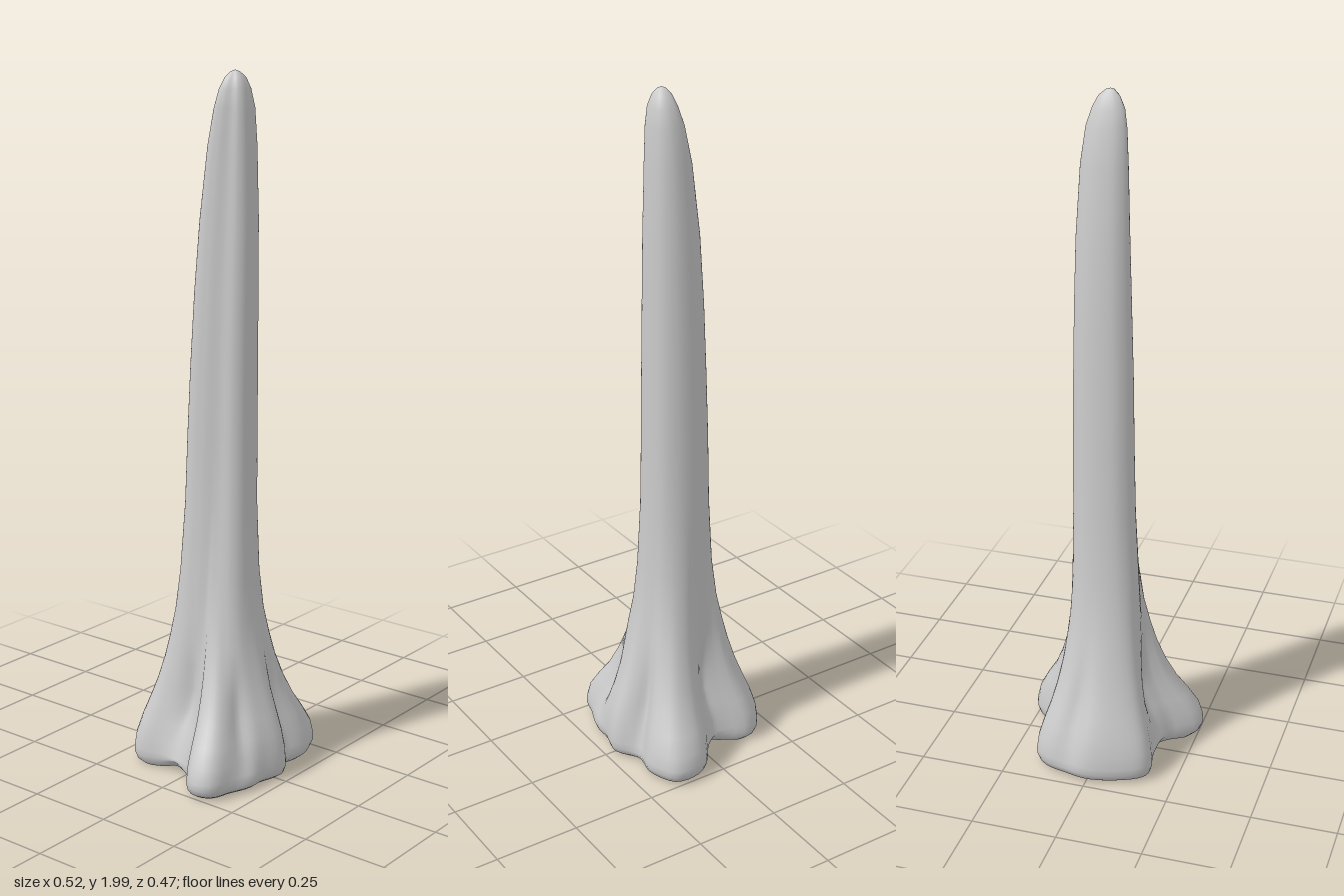
import * as THREE from 'three';

const SEG = 96;

// Radius by angle (0 = front, turning toward +x) of a smooth closed outline of [x, z] points
function polar(points) {
  const curve = new THREE.CatmullRomCurve3(points.map(([x, z]) => new THREE.Vector3(x, 0, z)), true);
  const samples = curve.getPoints(1500).map(p => [Math.atan2(p.x, p.z), Math.hypot(p.x, p.z)]);
  return a => {
    let best = 9, radius = 0;
    for (const [b, r] of samples) {
      const d = 1 - Math.cos(a - b);
      if (d < best) { best = d; radius = r; }
    }
    return radius;
  };
}

// Flared, three-lobed foot outline
const foot = polar([
  [0.015, 0.232], [0.06, 0.205], [0.09, 0.19], [0.155, 0.202], [0.2, 0.192], [0.247, 0.165], [0.258, 0.11],
  [0.24, 0.055], [0.175, 0], [0.145, -0.05], [0.15, -0.09], [0.172, -0.135], [0.168, -0.17], [0.13, -0.205],
  [0.07, -0.222], [0, -0.235], [-0.08, -0.22], [-0.16, -0.18], [-0.175, -0.15], [-0.165, -0.08],
  [-0.175, 0], [-0.19, 0.045], [-0.25, 0.09], [-0.26, 0.13], [-0.24, 0.17], [-0.18, 0.19],
  [-0.115, 0.214], [-0.06, 0.216]]);

// Unit section of the shaft, flattened on its front right side
const shaft = polar([
  [0.1, 1], [0.65, 0.8], [0.93, 0.4], [1, -0.1], [0.9, -0.55], [0.5, -0.9], [0, -1],
  [-0.6, -0.88], [-0.95, -0.5], [-0.9, -0.1], [-0.68, 0.35], [-0.55, 0.75], [-0.3, 0.96]]);

// Shaft levels: y, x min, x max, z min, z max, flare sideways, flare front and back
const levels = [
  [0.06, -0.1, 0.1, -0.09, 0.11, 1, 1],
  [0.1, -0.1, 0.1, -0.09, 0.11, 0.94, 0.97],
  [0.15, -0.1, 0.1, -0.09, 0.11, 0.76, 0.88],
  [0.2, -0.1, 0.1, -0.09, 0.11, 0.57, 0.75],
  [0.26, -0.1, 0.1, -0.09, 0.11, 0.42, 0.58],
  [0.33, -0.1, 0.1, -0.09, 0.11, 0.29, 0.42],
  [0.4, -0.1, 0.1, -0.09, 0.11, 0.2, 0.29],
  [0.48, -0.1, 0.1, -0.09, 0.11, 0.12, 0.16],
  [0.6, -0.098, 0.1, -0.088, 0.11, 0.05, 0.06],
  [0.8, -0.09, 0.1, -0.085, 0.11, 0, 0],
  [1.0, -0.084, 0.1, -0.079, 0.108, 0, 0],
  [1.2, -0.079, 0.1, -0.07, 0.107, 0, 0],
  [1.4, -0.071, 0.098, -0.06, 0.106, 0, 0],
  [1.6, -0.062, 0.095, -0.045, 0.105, 0, 0],
  [1.8, -0.052, 0.086, -0.02, 0.1, 0, 0],
  [1.9, -0.044, 0.074, 0, 0.096, 0, 0],
  [1.95, -0.035, 0.058, 0.015, 0.089, 0, 0],
  [1.98, -0.02, 0.042, 0.028, 0.078, 0, 0],
  [1.995, -0.004, 0.024, 0.041, 0.064, 0, 0]];

// Grooves between the ridges: direction [x, z], angular width, depth, height of the deepest point
const grooves = [
  [-0.12, 0.19, 0.17, 0.03, 0.18], [0.1, 0.2, 0.16, 0.022, 0.18],
  [0.15, -0.04, 0.25, 0.025, 0.22], [-0.17, -0.02, 0.28, 0.03, 0.22],
  [0.05, -0.22, 0.16, 0.018, 0.2]
].map(([x, z, width, depth, y]) => ({ angle: Math.atan2(x, z), width, depth, y }));

function grooveDepth(a, y) {
  return grooves.reduce((sum, g) => {
    const d = Math.atan2(Math.sin(a - g.angle), Math.cos(a - g.angle));
    return sum + g.depth * Math.exp(-((d / g.width) ** 2) - ((y - g.y) / 0.12) ** 2);
  }, 0);
}

// Underside is arched up between the lobes
const soleLift = a => 0.03 * Math.sin(a) ** 2 * Math.exp(-(((Math.cos(a) + 0.15) / 0.3) ** 2));

function createSpike() {
  const angles = Array.from({ length: SEG }, (_, i) => (i / SEG) * Math.PI * 2);
  const footR = angles.map(foot), shaftR = angles.map(shaft);
  const pos = [0, 0.03, 0];

  // Rounded rim of the sole, from the middle outward
  for (const [scale, y] of [[0.4, 0.026], [0.75, 0.016], [0.9, 0.01], [0.97, 0.022], [1, 0.04]]) {
    angles.forEach((a, i) => {
      const r = footR[i] * scale;
      pos.push(r * Math.sin(a), y + soleLift(a) * Math.min(1, scale * scale) * (y < 0.03 ? 1 : 0.5), r * Math.cos(a));
    });
  }

  // Sides blend from the foot outline to the shaft section
  for (const [y, x0, x1, z0, z1, flareX, flareZ] of levels) {
    angles.forEach((a, i) => {
      const s = Math.sin(a), c = Math.cos(a);
      const w = THREE.MathUtils.lerp(flareX, flareZ, c * c);
      const sx = (x0 + x1) / 2 + shaftR[i] * s * (x1 - x0) / 2;
      const sz = (z0 + z1) / 2 + shaftR[i] * c * (z1 - z0) / 2;
      const dent = y < 0.8 ? grooveDepth(a, y) : 0;
      pos.push(
        THREE.MathUtils.lerp(sx, footR[i] * s, w) - dent * s, y,
        THREE.MathUtils.lerp(sz, footR[i] * c, w) - dent * c);
    });
  }
  pos.push(0.01, 2, 0.052);

  // Join the rings, closing both ends on a single point
  const rings = levels.length + 5, tip = pos.length / 3 - 1, index = [];
  const at = (ring, i) => 1 + ring * SEG + (i % SEG);
  for (let i = 0; i < SEG; i++) {
    index.push(0, at(0, i + 1), at(0, i));
    for (let r = 0; r < rings - 1; r++) {
      index.push(at(r, i), at(r, i + 1), at(r + 1, i + 1), at(r, i), at(r + 1, i + 1), at(r + 1, i));
    }
    index.push(at(rings - 1, i), at(rings - 1, i + 1), tip);
  }
  const geometry = new THREE.BufferGeometry();
  geometry.setAttribute('position', new THREE.Float32BufferAttribute(pos, 3));
  geometry.setIndex(index);
  geometry.computeVertexNormals();
  return geometry;
}

export function createModel() {
  const group = new THREE.Group();
  group.name = 'boneSpike';
  const spike = new THREE.Mesh(createSpike(), new THREE.MeshStandardMaterial({ color: 0xcccccc }));
  spike.name = 'spikeWithFlaredFoot';
  group.add(spike);
  return group;
}
